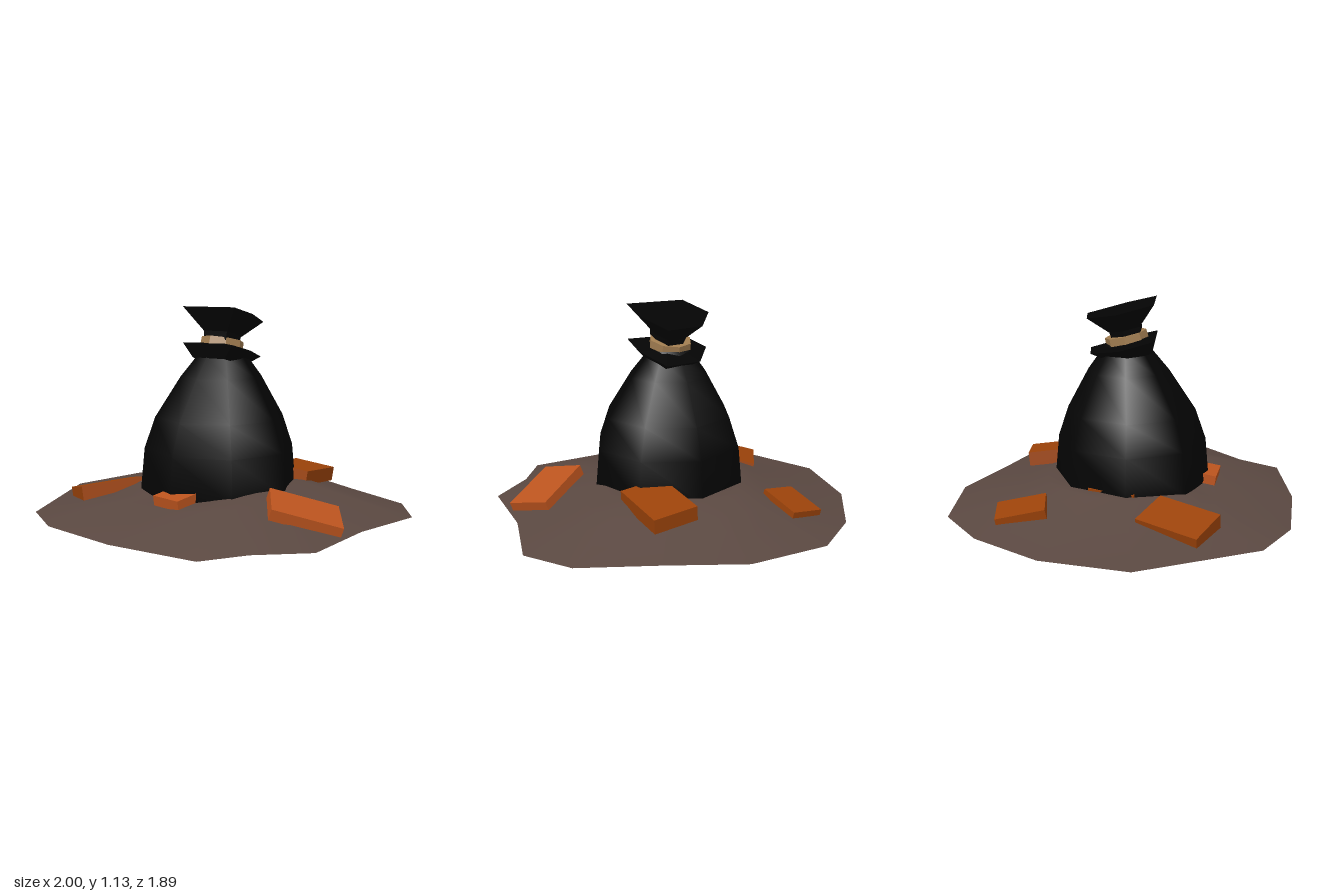
import * as THREE from 'three';

const paint = (name, color, extra = {}) => {
  const m = new THREE.MeshStandardMaterial({ color, ...extra });
  m.name = name;
  return m;
};

// Skin a stack of equal-length rings; optionally close the last ring with a centre point
function loft(rings, top) {
  const n = rings[0].length, index = [], points = rings.flat();
  for (let r = 0; r < rings.length - 1; r++) {
    for (let i = 0; i < n; i++) {
      const a = r * n + i, b = r * n + (i + 1) % n;
      index.push(a, b, b + n, a, b + n, a + n);
    }
  }
  if (top) {
    const base = (rings.length - 1) * n;
    points.push(top);
    for (let i = 0; i < n; i++) index.push(base + i, base + (i + 1) % n, points.length - 1);
  }
  const g = new THREE.BufferGeometry();
  g.setAttribute('position', new THREE.Float32BufferAttribute(points.flat(), 3));
  g.setIndex(index);
  g.computeVertexNormals();
  return g;
}

// Hard-edged version of a geometry
function faceted(geometry) {
  const g = geometry.toNonIndexed();
  g.computeVertexNormals();
  return g;
}

export function createModel() {
  const model = new THREE.Group();
  model.name = 'sackOnRubble';
  const soil = paint('soil brown', 0x5a4841, { side: THREE.DoubleSide });
  const cloth = paint('black cloth', 0x040404, { side: THREE.DoubleSide });
  const rope = paint('tan rope', 0xa07c50);
  const brown = paint('brown brick', 0x9c430a);
  const red = paint('red brick', 0xbc541e);

  const add = (parent, name, geometry, material) => {
    const mesh = new THREE.Mesh(geometry, material);
    mesh.name = name;
    parent.add(mesh);
    return mesh;
  };

  // Low mound: ragged outline, a shoulder, then a plateau left open under the sack.
  // Each entry is x, z, shoulder height, plateau height.
  const outline = [
    [0.04, -0.95, 0.11, 0.16], [-0.41, -0.93, 0.11, 0.16], [-0.68, -0.72, 0.1, 0.16],
    [-0.91, -0.36, 0.09, 0.16], [-1, 0.1, 0.09, 0.155], [-0.71, 0.73, 0.09, 0.14],
    [-0.44, 0.89, 0.1, 0.12], [0.03, 0.945, 0.095, 0.108], [0.53, 0.9, 0.14, 0.145],
    [0.67, 0.68, 0.15, 0.165], [0.9, 0.47, 0.14, 0.175], [0.91, 0.03, 0.14, 0.175],
    [1, -0.38, 0.13, 0.17], [0.83, -0.62, 0.12, 0.165], [0.43, -0.78, 0.12, 0.16],
  ];
  const ring = (s, y) => outline.map((o) => [o[0] * s, y(o), o[1] * s]);
  add(model, 'mound', loft([
    ring(1, () => 0.017), ring(0.6, (o) => o[2]), ring(0.46, (o) => o[3]), ring(0.36, (o) => o[3]),
  ]), soil);

  // Sack body: eight-sided, smooth, leaning back a little towards the neck
  const profile = [
    [0, 0.035], [0.4, 0.04], [0.437, 0.13], [0.415, 0.36], [0.357, 0.53],
    [0.225, 0.75], [0.14, 0.86], [0.1, 0.92],
  ].map(([r, y]) => new THREE.Vector2(r, y));
  const body = new THREE.LatheGeometry(profile, 8);
  const p = body.attributes.position;
  for (let i = 0; i < p.count; i++) {
    p.setZ(i, p.getZ(i) - 0.03 * Math.max(0, (p.getY(i) - 0.5) / 0.42));
  }
  add(model, 'sackBody', body, cloth).position.set(0.022, 0, 0.03);

  // Tilted neck: flared collar, rope tie and flared mouth
  const neck = new THREE.Group();
  neck.name = 'neck';
  neck.position.set(0.02, 0.925, 0);
  neck.rotation.x = -0.235;
  model.add(neck);
  const rim = [[-0.15, 0.2], [0.19, 0.2], [0.195, 0.03], [0.12, -0.195], [-0.09, -0.175], [-0.215, 0]];
  const fold = (s, y, dz = 0) => rim.map(([x, z]) => [x * s, y, z * s + dz]);
  const collar = loft([fold(0.62, -0.1), fold(0.97, -0.028, -0.033), fold(0.45, -0.012)]);
  add(neck, 'collar', faceted(collar), cloth);
  const tie = new THREE.CylinderGeometry(0.117, 0.12, 0.046, 8);
  add(neck, 'ropeTie', faceted(tie), rope).position.y = 0.002;
  const mouth = loft([fold(0.43, 0.01), fold(0.46, 0.055), fold(1, 0.165)], [0, 0.155, 0]);
  add(neck, 'mouth', faceted(mouth), cloth);

  // Bricks lying on the slopes: top centre, size, yaw, rise per unit of x and z
  const bricks = [
    ['leftBrick', red, [0.692, 0.146, 0.21], [0.37, 0.06, 0.25], 0.64, -0.36, 0],
    ['frontBrick', red, [0.05, 0.172, 0.44], [0.19, 0.055, 0.17], -0.16, 0.03, -0.14],
    ['rightBrick', brown, [-0.575, 0.126, 0.305], [0.24, 0.088, 0.36], -0.53, 0.231, 0.054],
    ['backLeftBrick', brown, [0.288, 0.21, -0.42], [0.25, 0.08, 0.36], 0.08, -0.1, 0.12],
    ['backRightBrick', brown, [-0.467, 0.115, -0.52], [0.19, 0.07, 0.265], 0.11, 0.14, 0.18],
    ['innerBrick', brown, [-0.274, 0.178, -0.028], [0.2, 0.07, 0.26], -0.27, 0.08, 0],
  ];
  const up = new THREE.Vector3(0, 1, 0);
  for (const [name, material, top, size, yaw, sx, sz] of bricks) {
    const geometry = new THREE.BoxGeometry(...size).translate(0, -size[1] / 2, 0);
    const brick = add(model, name, geometry, material);
    const normal = new THREE.Vector3(-sx, 1, -sz).normalize();
    brick.quaternion.setFromUnitVectors(up, normal)
      .multiply(new THREE.Quaternion().setFromAxisAngle(up, yaw));
    brick.position.set(...top);
  }
  return model;
}
